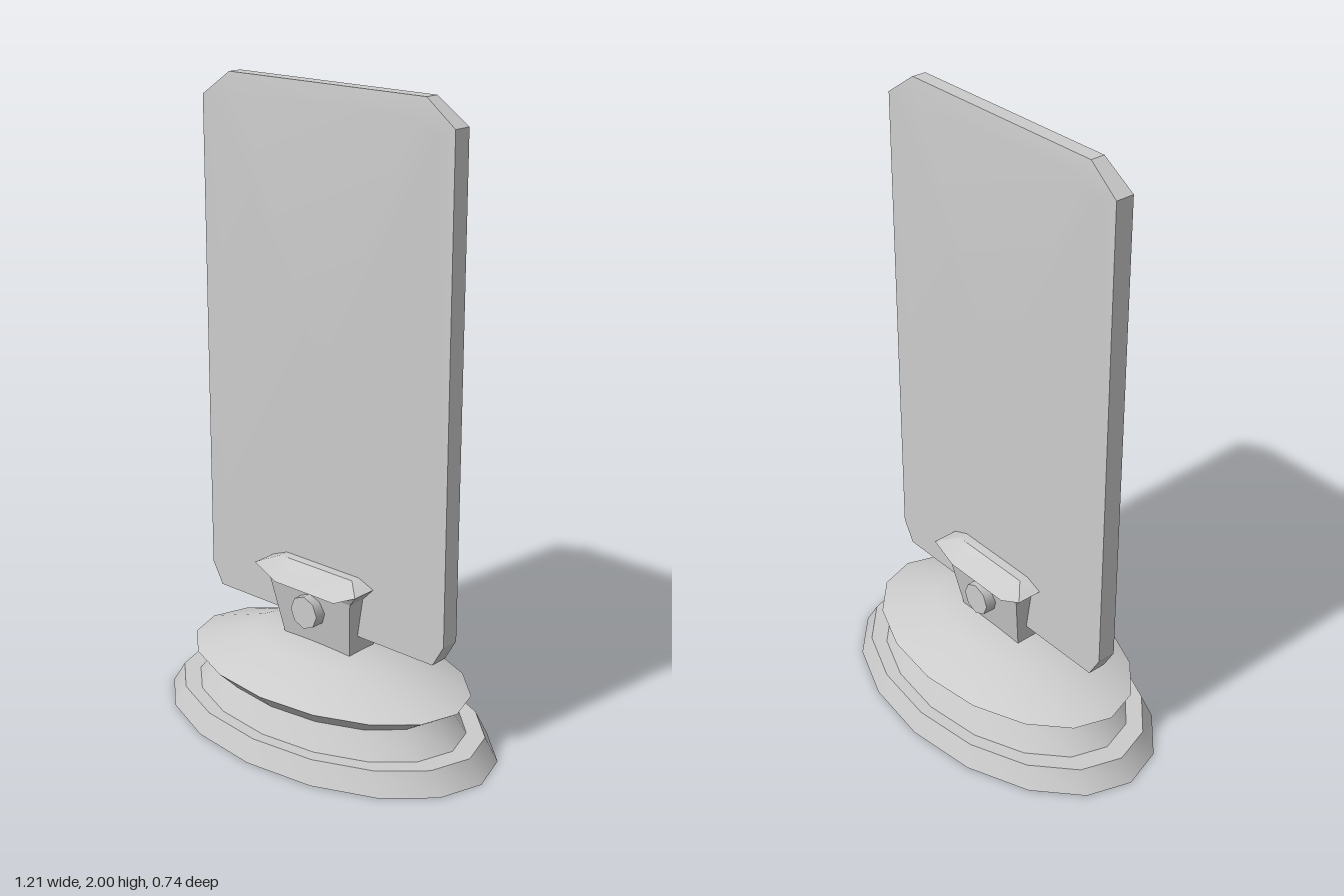
import * as THREE from 'three';
import { toCreasedNormals } from 'three/addons/utils/BufferGeometryUtils.js';

const grey = () => new THREE.MeshStandardMaterial({ color: 0xcccccc, side: THREE.DoubleSide });

// Skins equal-length rings (counter-clockwise seen from the end) and closes both ends
function loft(rings, crease = 0.5) {
  const pos = [];
  const n = rings[0].length;
  const put = (...pts) => pts.forEach((p) => pos.push(...p));
  const centre = (ring) => [0, 1, 2].map((k) => ring.reduce((s, p) => s + p[k], 0) / n);
  const first = rings[0], last = rings[rings.length - 1];
  for (let i = 0; i < n; i++) {
    const j = (i + 1) % n;
    for (let r = 0; r < rings.length - 1; r++) {
      const a = rings[r], b = rings[r + 1];
      put(a[i], a[j], b[j], a[i], b[j], b[i]);
    }
    put(centre(first), first[j], first[i]);
    put(centre(last), last[i], last[j]);
  }
  const g = new THREE.BufferGeometry();
  g.setAttribute('position', new THREE.Float32BufferAttribute(pos, 3));
  return toCreasedNormals(g, crease);
}

// Rectangle with extra points on its long sides, which may sit at another height
const capRing = (x, z, y, midX, midY) => [
  [x, y, z], [x, y, -z], [midX, midY, -z], [-midX, midY, -z],
  [-x, y, -z], [-x, y, z], [-midX, midY, z], [midX, midY, z],
];

const boxRing = (x, z, y) => [[x, y, z], [x, y, -z], [-x, y, -z], [-x, y, z]];

// Upright rectangle with clipped corners, shrunk by an inset
function panelRing(inset, z, topZ) {
  const x = 0.475 - inset, top = 2 - inset, low = 0.345 + inset;
  const right = [[0.435 - inset, low, z], [x, 0.415 + inset * 0.5, z],
    [x, 1.925 - inset * 0.5, z], [0.37 - inset * 0.5, top, topZ]];
  const left = right.map(([px, py, pz]) => [-px, py, pz]).reverse();
  return [...right, ...left];
}

export function createModel() {
  const group = new THREE.Group();
  const add = (name, geometry) => {
    const mesh = new THREE.Mesh(geometry, grey());
    mesh.name = name;
    group.add(mesh);
    return mesh;
  };

  // Hollow oval base: stepped foot, waist and flared dome
  const profile = [[0.605, 0], [0.56, 0.07], [0.495, 0.07], [0.43, 0.148],
    [0.508, 0.198], [0.28, 0.277], [0, 0.293]].map(([r, y]) => new THREE.Vector2(r, y));
  const base = new THREE.LatheGeometry(profile, 16);
  base.scale(1, 1, 0.612);
  add('base', toCreasedNormals(base, 0.7));

  // Tapered bracket standing on the dome
  add('bracket', loft([boxRing(0.134, 0.055, 0.28), boxRing(0.165, 0.09, 0.478)]));

  // Flared collar with drooping front and back edges
  add('collar', loft([
    capRing(0.165, 0.09, 0.475, 0.12, 0.475),
    capRing(0.205, 0.113, 0.517, 0.12, 0.475),
    capRing(0.147, 0.06, 0.54, 0.12, 0.54),
  ]));

  // Pivot pin through the bracket
  const pin = new THREE.CylinderGeometry(0.053, 0.053, 0.23, 8);
  pin.rotateX(Math.PI / 2);
  add('pivotPin', toCreasedNormals(pin, 0.9)).position.y = 0.408;

  // Thin panel with clipped corners, thinner along its top edge
  add('panel', loft([
    panelRing(0.06, -0.03, -0.03),
    panelRing(0, -0.03, -0.023),
    panelRing(0, 0.03, 0.023),
    panelRing(0.06, 0.03, 0.03),
  ]));

  return group;
}
